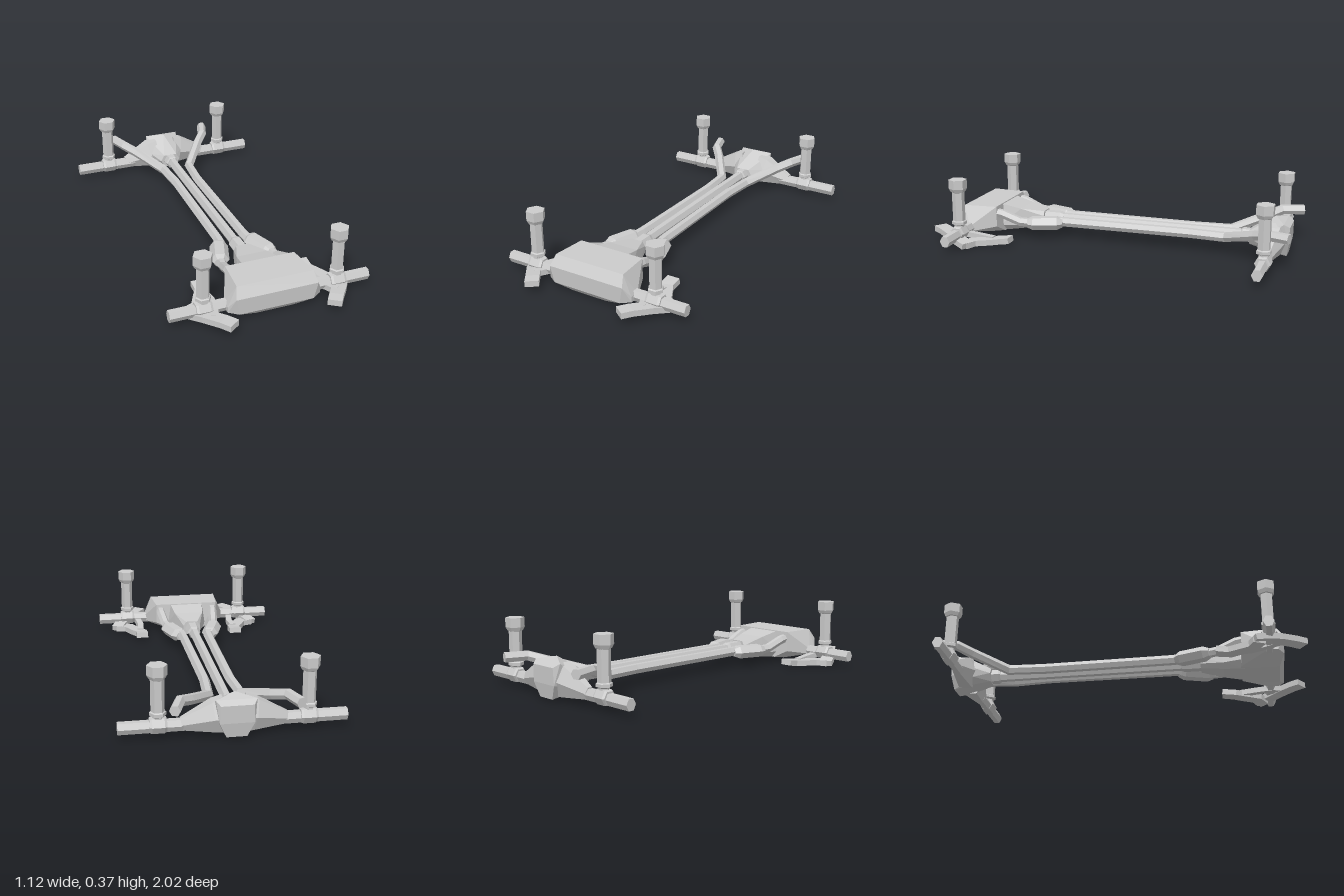
import * as THREE from 'three';
import { ConvexGeometry } from 'three/addons/geometries/ConvexGeometry.js';

const material = new THREE.MeshStandardMaterial({ color: 0xcccccc, flatShading: true });

function part(name, geometry, parent) {
  const mesh = new THREE.Mesh(geometry, material);
  mesh.name = name;
  parent.add(mesh);
  return mesh;
}

// Faceted bar along a path of [x, y, z, scale], w and h being its half sizes
function sweep(path, w, h = w, sides = 6, mirror = 1) {
  const pts = path.map(p => new THREE.Vector3(p[0] * mirror, p[1], p[2]));
  const pos = [], idx = [], n = pts.length;
  const up = new THREE.Vector3(0, 1, 0);
  const offset = sides === 4 ? Math.PI / 4 : 0;
  const grow = sides === 4 ? Math.SQRT2 : 1;
  pts.forEach((p, k) => {
    const before = p.clone().sub(pts[Math.max(k - 1, 0)]).normalize();
    const after = pts[Math.min(k + 1, n - 1)].clone().sub(p).normalize();
    const t = before.add(after).normalize();
    const side = up.clone().cross(t).normalize();
    const top = t.clone().cross(side);
    const s = (path[k][3] ?? 1) * grow;
    for (let j = 0; j < sides; j++) {
      const a = offset + j / sides * Math.PI * 2;
      const v = p.clone().addScaledVector(side, Math.cos(a) * w * s).addScaledVector(top, Math.sin(a) * h * s);
      pos.push(v.x, v.y, v.z);
    }
  });
  for (let k = 0; k < n - 1; k++) for (let j = 0; j < sides; j++) {
    const a = k * sides + j, b = k * sides + (j + 1) % sides;
    idx.push(a, b, b + sides, a, b + sides, a + sides);
  }
  for (let j = 1; j < sides - 1; j++) {
    const e = (n - 1) * sides;
    idx.push(0, j + 1, j, e, e + j, e + j + 1);
  }
  const g = new THREE.BufferGeometry();
  g.setAttribute('position', new THREE.Float32BufferAttribute(pos, 3));
  g.setIndex(idx);
  g.computeVertexNormals();
  return g;
}

// Convex solid from corners given for one side only
function mirroredHull(corners) {
  return new ConvexGeometry(corners.flatMap(([x, y, z]) =>
    x ? [new THREE.Vector3(x, y, z), new THREE.Vector3(-x, y, z)] : [new THREE.Vector3(x, y, z)]));
}

// Half axle with its hub and upright strut
function addAxle(parent, label, s, z, inner, outer, strutX) {
  const g = new THREE.Group();
  g.name = label + (s > 0 ? 'LeftAxle' : 'RightAxle');
  parent.add(g);
  const y = 0.066;
  part('halfShaft', sweep([[inner, y, z], [outer, y, z]], 0.029, 0.033, 6, s), g);
  part('hub', sweep([[strutX - 0.042, y + 0.006, z, 0.85], [strutX - 0.03, y + 0.006, z],
    [strutX + 0.03, y + 0.006, z], [strutX + 0.042, y + 0.006, z, 0.85]], 0.043, 0.043, 6, s), g);
  const profile = [[0, 0.08], [0.027, 0.08], [0.027, 0.115], [0.041, 0.122], [0.041, 0.138], [0.034, 0.143],
    [0.034, 0.303], [0.04, 0.306], [0.05, 0.325], [0.05, 0.375], [0, 0.375]];
  const strut = new THREE.LatheGeometry(profile.map(p => new THREE.Vector2(...p)), 6);
  strut.rotateY(Math.PI / 6);
  part('strut', strut, g).position.set(s * strutX, 0, z);
}

export function createModel() {
  const model = new THREE.Group();
  model.name = 'chassis';

  // Engine and gearbox
  part('engineBlock', mirroredHull([
    [0.19, 0.186, 0.67], [0.205, 0.186, 0.86], [0.22, 0.13, 0.895],
    [0.252, 0.075, 0.81], [0.252, 0.045, 0.81], [0.25, 0.075, 0.86], [0.25, 0.045, 0.86],
    [0.2, 0.04, 0.89], [0.1, 0.01, 0.865], [0.1, 0.01, 0.75], [0.19, 0.07, 0.67], [0.1, 0.025, 0.66]
  ]), model);
  part('gearboxRear', mirroredHull([
    [0.085, 0.157, 0.565], [0.09, 0.06, 0.565], [0.06, 0.035, 0.565],
    [0.035, 0.14, 0.44], [0.05, 0.115, 0.44], [0.05, 0.08, 0.44], [0.03, 0.06, 0.44]
  ]), model);
  part('gearboxFront', mirroredHull([
    [0.1, 0.183, 0.68], [0.12, 0.06, 0.68], [0.08, 0.02, 0.68],
    [0.085, 0.157, 0.565], [0.09, 0.06, 0.565], [0.06, 0.035, 0.565]
  ]), model);

  // Drive shaft with its couplings
  part('driveShaft', sweep([[0, 0.1, 0.4], [0, 0.1, -0.72]], 0.028, 0.032), model);
  part('frontCoupling', sweep([[0, 0.1, 0.33, 0.8], [0, 0.1, 0.35], [0, 0.1, 0.46]], 0.04), model);
  part('rearCoupling', sweep([[0, 0.1, -0.7, 0.85], [0, 0.1, -0.71], [0, 0.1, -0.77]], 0.04), model);

  // Rear gear housing
  part('rearGearHousing', mirroredHull([
    [0, 0.22, -0.885], [0.1, 0.2, -0.94], [0.08, 0.18, -0.97], [0.085, 0.09, -0.968], [0.05, 0.015, -0.955],
    [0.06, 0.03, -0.88], [0.1, 0.12, -0.835], [0.09, 0.07, -0.835],
    [0.04, 0.135, -0.75], [0.06, 0.1, -0.75], [0.035, 0.06, -0.75]
  ]), model);

  for (const s of [1, -1]) {
    const side = s > 0 ? 'left' : 'right';
    part(side + 'HousingArm', sweep([[0.05, 0.11, -0.89, 1.1], [0.1, 0.105, -0.89],
      [0.255, 0.07, -0.885, 0.4]], 0.065, 0.09, 6, s), model);

    // Axles and struts
    addAxle(model, 'front', s, 0.815, 0.2, 0.54, 0.362);
    addAxle(model, 'rear', s, -0.882, 0.2, 0.56, 0.367);

    // Exhaust from engine to tail
    part(side + 'ExhaustManifold', sweep([[0.165, 0.15, 0.7], [0.163, 0.14, 0.64], [0.15, 0.1, 0.54],
      [0.135, 0.095, 0.47]], 0.026, 0.026, 6, s), model);
    part(side + 'Muffler', sweep([[0.148, 0.095, 0.5, 0.65], [0.138, 0.095, 0.47], [0.095, 0.095, 0.34],
      [0.085, 0.095, 0.31, 0.65]], 0.05, 0.04, 6, s), model);
    part(side + 'ExhaustPipe', sweep([[0.08, 0.1, 0.34], [0.075, 0.1, 0.28], [0.068, 0.1, -0.43], [0.083, 0.1, -0.63],
      [0.205, 0.16, -0.81], [0.262, 0.185, -0.88], [0.3, 0.185, -0.997]], 0.028, 0.028, 6, s), model);

    // Lower front suspension
    part(side + 'FrontControlArm', sweep([[0.265, 0.058, 0.99], [0.3, 0.058, 0.94], [0.36, 0.05, 0.86],
      [0.405, 0.035, 0.79], [0.432, 0.022, 0.735]], 0.036, 0.016, 4, s), model);
    part(side + 'RearControlArm', sweep([[0.425, 0.02, 0.765], [0.36, 0.022, 0.735], [0.32, 0.023, 0.66],
      [0.293, 0.025, 0.61], [0.293, 0.035, 0.54]], 0.035, 0.016, 4, s), model);
    part(side + 'ArmLink', sweep([[0.295, 0.03, 0.64], [0.285, 0.035, 0.72], [0.3, 0.05, 0.82],
      [0.33, 0.055, 0.89]], 0.018, 0.015, 4, s), model);
  }
  return model;
}
